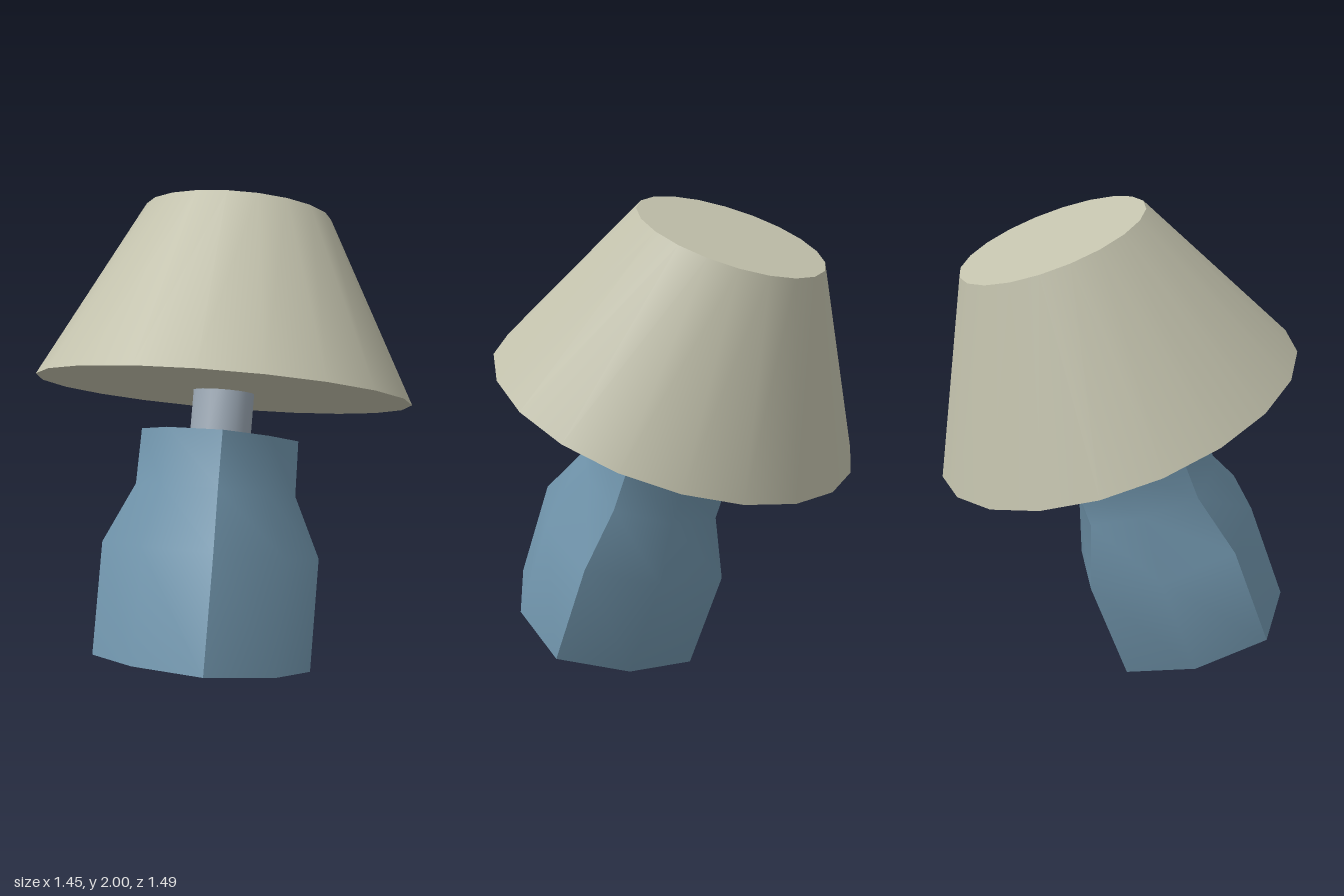
import * as THREE from 'three';
import { toCreasedNormals } from 'three/addons/utils/BufferGeometryUtils.js';

const CREASE = 0.75; // radians

function part(name, geometry, color, y = 0) {
  const mesh = new THREE.Mesh(
    toCreasedNormals(geometry, CREASE),
    new THREE.MeshStandardMaterial({ color })
  );
  mesh.name = name;
  mesh.position.y = y;
  return mesh;
}

// Eight-sided body: each ring is [height, side radius x, side radius z, corner radius]
function bodyGeometry(rings) {
  const n = 8, pos = [], idx = [];
  for (const [y, rx, rz, rc] of rings) {
    for (let k = 0; k < n; k++) {
      const a = (k / n) * Math.PI * 2;
      const r = k % 2 ? rc : k % 4 ? rx : rz;
      pos.push(Math.sin(a) * r, y, Math.cos(a) * r);
    }
  }
  const last = (rings.length - 1) * n;
  const bottom = pos.length / 3, top = bottom + 1;
  pos.push(0, rings[0][0], 0, 0, rings[rings.length - 1][0], 0);
  for (let k = 0; k < n; k++) {
    const m = (k + 1) % n;
    for (let i = 0; i < last; i += n) {
      idx.push(i + k, i + m, i + n + k, i + m, i + n + m, i + n + k);
    }
    idx.push(bottom, m, k, top, last + k, last + m);
  }
  const g = new THREE.BufferGeometry();
  g.setAttribute('position', new THREE.Float32BufferAttribute(pos, 3));
  g.setIndex(idx);
  return g;
}

export function createModel() {
  const model = new THREE.Group();
  model.name = 'tableLamp';

  // Whole lamp leans along one tilted axis
  const lamp = new THREE.Group();
  lamp.name = 'leaningLamp';
  const up = new THREE.Vector3(0.299, 0.931, -0.21).normalize();
  const front = new THREE.Vector3(0.1, 0.19, 0.977);
  const side = new THREE.Vector3().crossVectors(up, front).normalize();
  front.crossVectors(side, up);
  lamp.quaternion.setFromRotationMatrix(new THREE.Matrix4().makeBasis(side, up, front));
  lamp.position.set(-0.33, 0.155, 0.235);
  model.add(lamp);

  // Body with a narrower neck
  lamp.add(part('lampBase', bodyGeometry([
    [0, 0.385, 0.395, 0.44],
    [0.455, 0.385, 0.395, 0.44],
    [0.70, 0.305, 0.273, 0.325],
    [0.925, 0.305, 0.268, 0.32],
  ]), 0x6f93aa));

  // Stem between body and shade
  lamp.add(part('stem', new THREE.CylinderGeometry(0.125, 0.125, 0.24, 20), 0x98a4b0, 1.02));

  // Closed conical shade
  lamp.add(part('shade', new THREE.CylinderGeometry(0.382, 0.763, 0.736, 20), 0xc2c1ac, 1.1 + 0.368));

  return model;
}
